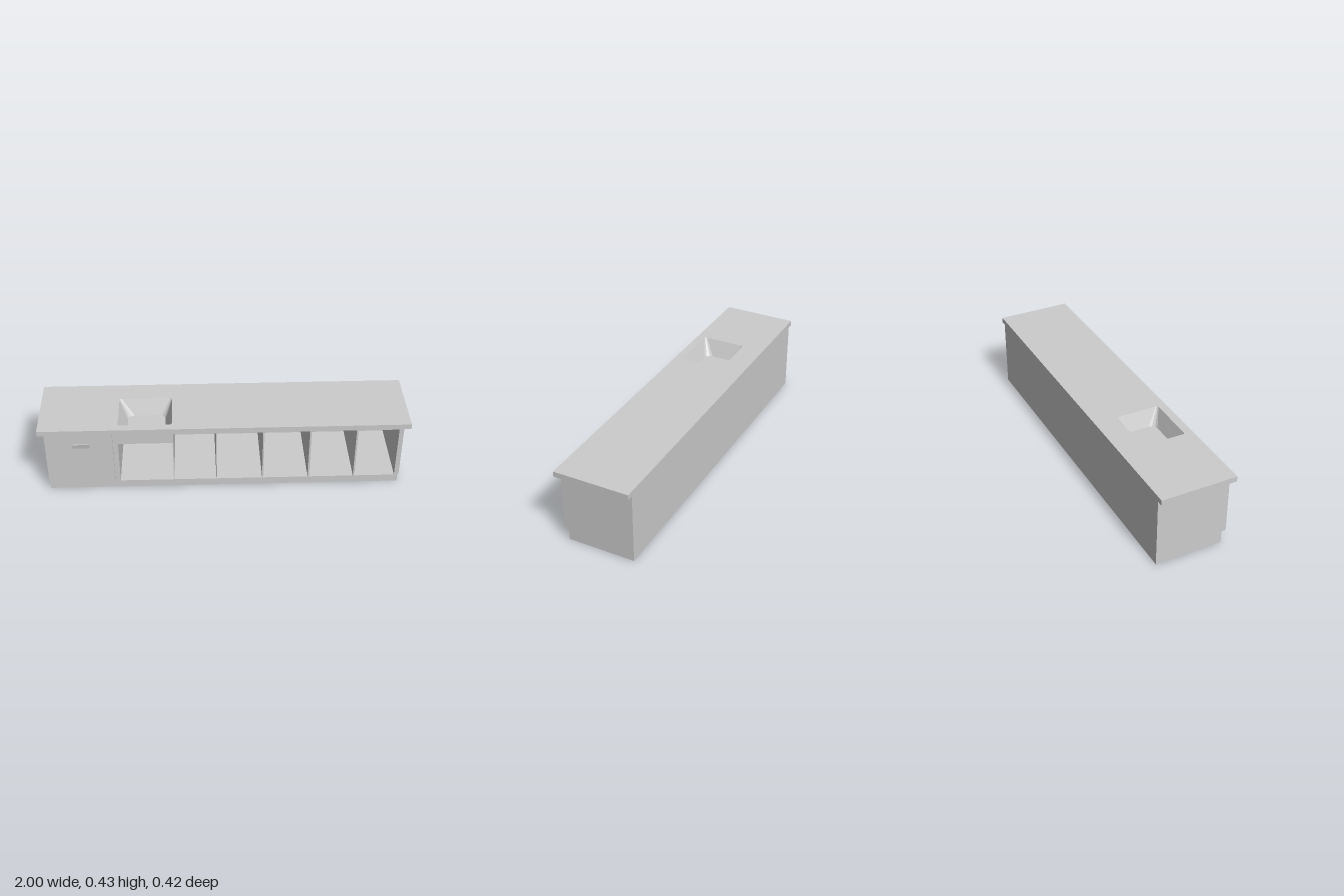
import * as THREE from 'three';

const BACK = -0.21, BODY = 0.19, FRONT = 0.205, DECK = 0.07, TOP = 0.395, HEIGHT = 0.425;
const SINK = { x0: -0.572, x1: -0.282, z0: -0.08, z1: 0.165 };
const BASIN = { x0: -0.527, x1: -0.32, z0: -0.043, z1: 0.128 };

// Rounded rectangle as a loop of [x, z] points
function roundedLoop({ x0, x1, z0, z1 }, r, steps = 3) {
  const corners = [[x1 - r, z1 - r], [x0 + r, z1 - r], [x0 + r, z0 + r], [x1 - r, z0 + r]];
  const points = [];
  corners.forEach(([cx, cz], i) => {
    for (let s = 0; s <= steps; s++) {
      const a = (i + s / steps) * Math.PI / 2;
      points.push([cx + r * Math.cos(a), cz + r * Math.sin(a)]);
    }
  });
  return points;
}

function rectPath(path, x0, y0, x1, y1) {
  path.moveTo(x0, y0);
  path.lineTo(x1, y0);
  path.lineTo(x1, y1);
  path.lineTo(x0, y1);
  path.closePath();
  return path;
}

export function createModel() {
  const group = new THREE.Group();
  const material = new THREE.MeshStandardMaterial({ color: 0xcccccc, flatShading: true });
  const thin = new THREE.MeshStandardMaterial({ color: 0xcccccc, flatShading: true, side: THREE.DoubleSide });

  const add = (name, geometry, mat = material) => {
    const mesh = new THREE.Mesh(geometry, mat);
    mesh.name = name;
    group.add(mesh);
    return mesh;
  };
  const box = (name, x0, x1, y0, y1, z0, z1) =>
    add(name, new THREE.BoxGeometry(x1 - x0, y1 - y0, z1 - z0))
      .position.set((x0 + x1) / 2, (y0 + y1) / 2, (z0 + z1) / 2);

  // Worktop with the sink cut out
  const topShape = rectPath(new THREE.Shape(), -1, BACK, 1, 0.21);
  topShape.holes.push(new THREE.Path(roundedLoop(SINK, 0.012).map(([x, z]) => new THREE.Vector2(x, z))));
  const topGeometry = new THREE.ExtrudeGeometry(topShape, { depth: HEIGHT - TOP, bevelEnabled: false });
  topGeometry.rotateX(Math.PI / 2);
  add('worktop', topGeometry).position.y = HEIGHT;

  // Tapered sink basin: rim, floor edge and floor centre
  const rim = roundedLoop(SINK, 0.012), floor = roundedLoop(BASIN, 0.035);
  const n = rim.length, floorY = 0.335;
  const vertices = [], index = [];
  rim.forEach(([x, z]) => vertices.push(x, HEIGHT, z));
  floor.forEach(([x, z]) => vertices.push(x, floorY, z));
  vertices.push((BASIN.x0 + BASIN.x1) / 2, floorY, (BASIN.z0 + BASIN.z1) / 2);
  for (let i = 0; i < n; i++) {
    const j = (i + 1) % n;
    index.push(i, j, n + j, i, n + j, n + i, n + i, n + j, 2 * n);
  }
  const sinkGeometry = new THREE.BufferGeometry();
  sinkGeometry.setAttribute('position', new THREE.Float32BufferAttribute(vertices, 3));
  sinkGeometry.setIndex(index);
  sinkGeometry.computeVertexNormals();
  add('sinkBasin', sinkGeometry, thin);

  // Base, back and end panels
  box('plinth', -0.967, 0.967, 0, DECK, BACK, 0.165);
  box('backPanel', -0.6, 0.945, DECK, TOP, BACK, -0.2);
  box('endPanel', 0.945, 0.967, DECK, TOP, BACK, BODY);

  // Open compartments; the sink bay is left open at the top
  const floorLine = 0.077;
  const shelf = new THREE.Shape();
  [[-0.598, DECK], [0.945, DECK], [0.945, TOP], [-0.281, TOP], [-0.281, floorLine],
    [-0.573, floorLine], [-0.573, TOP], [-0.598, TOP]]
    .forEach(([x, y], i) => (i ? shelf.lineTo(x, y) : shelf.moveTo(x, y)));
  shelf.closePath();
  const bays = [[-0.277, -0.047], [-0.042, 0.205], [0.212, 0.457], [0.467, 0.709], [0.718, 0.938]];
  bays.forEach(([x0, x1]) => shelf.holes.push(rectPath(new THREE.Path(), x0, floorLine, x1, 0.389)));
  add('compartments', new THREE.ExtrudeGeometry(shelf, { depth: FRONT + 0.2, bevelEnabled: false }))
    .position.z = -0.2;
  box('sinkRail', -0.573, -0.281, 0.33, TOP, BODY, FRONT);

  // Closed cabinet with its door
  box('cabinet', -0.967, -0.598, DECK, TOP, BACK, BODY);
  box('door', -0.945, -0.603, DECK, TOP, BODY, FRONT);

  // Wedge-shaped door pull, widest at the top
  const wedge = new THREE.Shape();
  wedge.moveTo(-FRONT, 0.306);
  wedge.lineTo(-FRONT, 0.332);
  wedge.lineTo(-0.21, 0.332);
  wedge.closePath();
  const pull = new THREE.ExtrudeGeometry(wedge, { depth: 0.093, bevelEnabled: false });
  pull.rotateY(Math.PI / 2);
  add('doorPull', pull).position.x = -0.82;

  return group;
}
